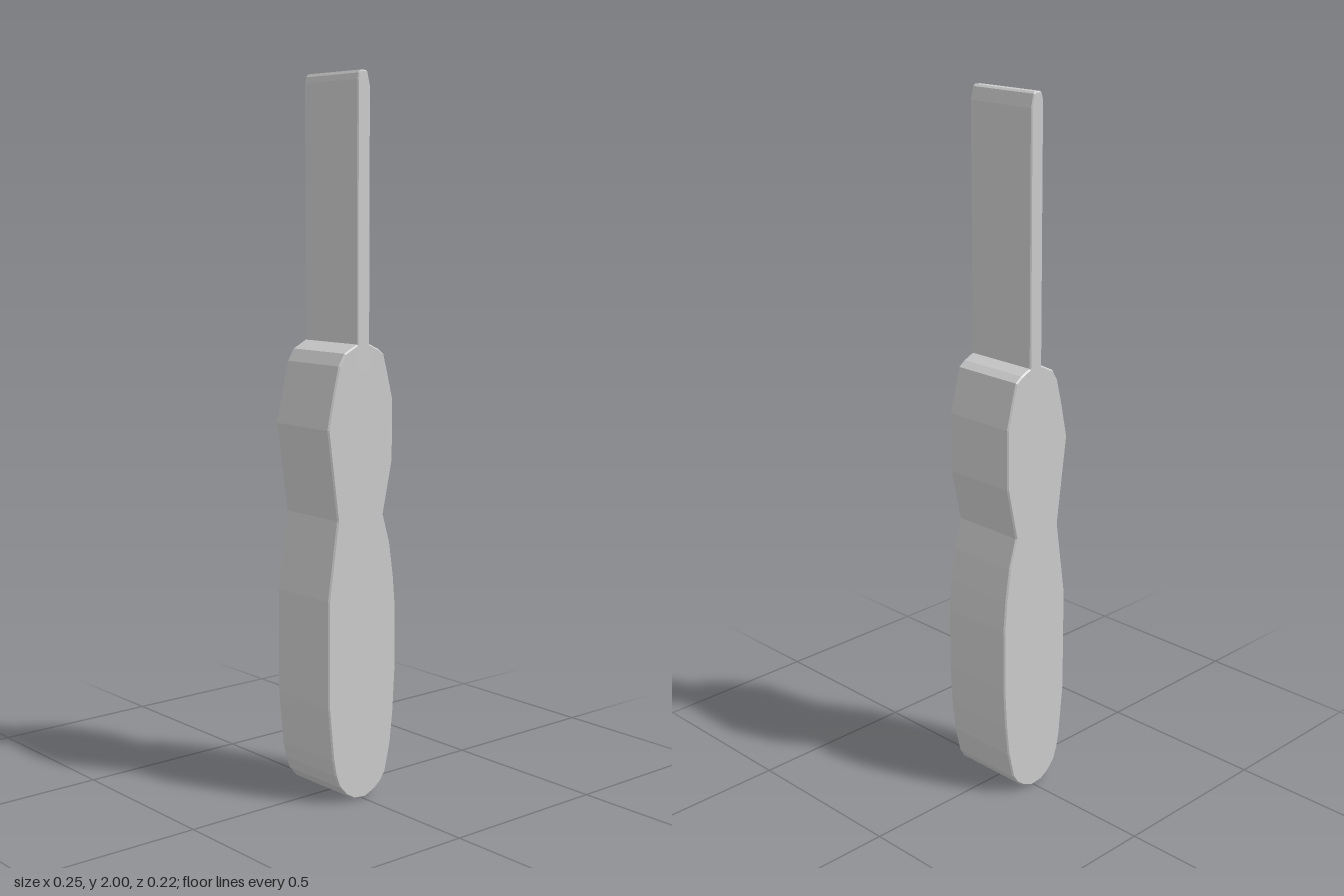
import * as THREE from 'three';

const HALF_DEPTH = 0.112;

// Extrudes a side outline through the full depth, with a fine edge bevel kept inside the outline
function slab(name, outline, bevel) {
  const shape = new THREE.Shape(outline.map(([x, y]) => new THREE.Vector2(x, y)));
  const geometry = new THREE.ExtrudeGeometry(shape, {
    depth: 2 * (HALF_DEPTH - bevel),
    bevelEnabled: true,
    bevelThickness: bevel,
    bevelSize: bevel,
    bevelOffset: -bevel,
    bevelSegments: 1,
  });
  geometry.translate(0, 0, -HALF_DEPTH + bevel);
  const material = new THREE.MeshStandardMaterial({ color: 0xcccccc, flatShading: true });
  const mesh = new THREE.Mesh(geometry, material);
  mesh.name = name;
  return mesh;
}

export function createModel() {
  const group = new THREE.Group();
  group.name = 'handTool';

  // Waisted grip, counter-clockwise from the bottom
  group.add(slab('handle', [
    [0.01, 0], [0.045, 0.015], [0.07, 0.035], [0.086, 0.06], [0.105, 0.14],
    [0.115, 0.23], [0.122, 0.35], [0.122, 0.53], [0.114, 0.62], [0.1, 0.715],
    [0.075, 0.8], [0.108, 0.95], [0.108, 1.12], [0.09, 1.19], [0.075, 1.245],
    [0.055, 1.26], [0.02, 1.276], [-0.02, 1.276], [-0.065, 1.253], [-0.085, 1.22],
    [-0.105, 1.14], [-0.124, 1.05], [-0.09, 0.8], [-0.122, 0.58], [-0.122, 0.28],
    [-0.107, 0.13], [-0.098, 0.085], [-0.085, 0.05], [-0.06, 0.022], [-0.03, 0.004],
  ], 0.004));

  // Flat blade with a narrowed tip, seated in the handle
  group.add(slab('blade', [
    [-0.021, 1.2], [0.023, 1.2], [0.023, 1.96], [0.014, 1.995], [0.008, 2],
    [-0.011, 2], [-0.017, 1.992], [-0.021, 1.975],
  ], 0.003));

  return group;
}
